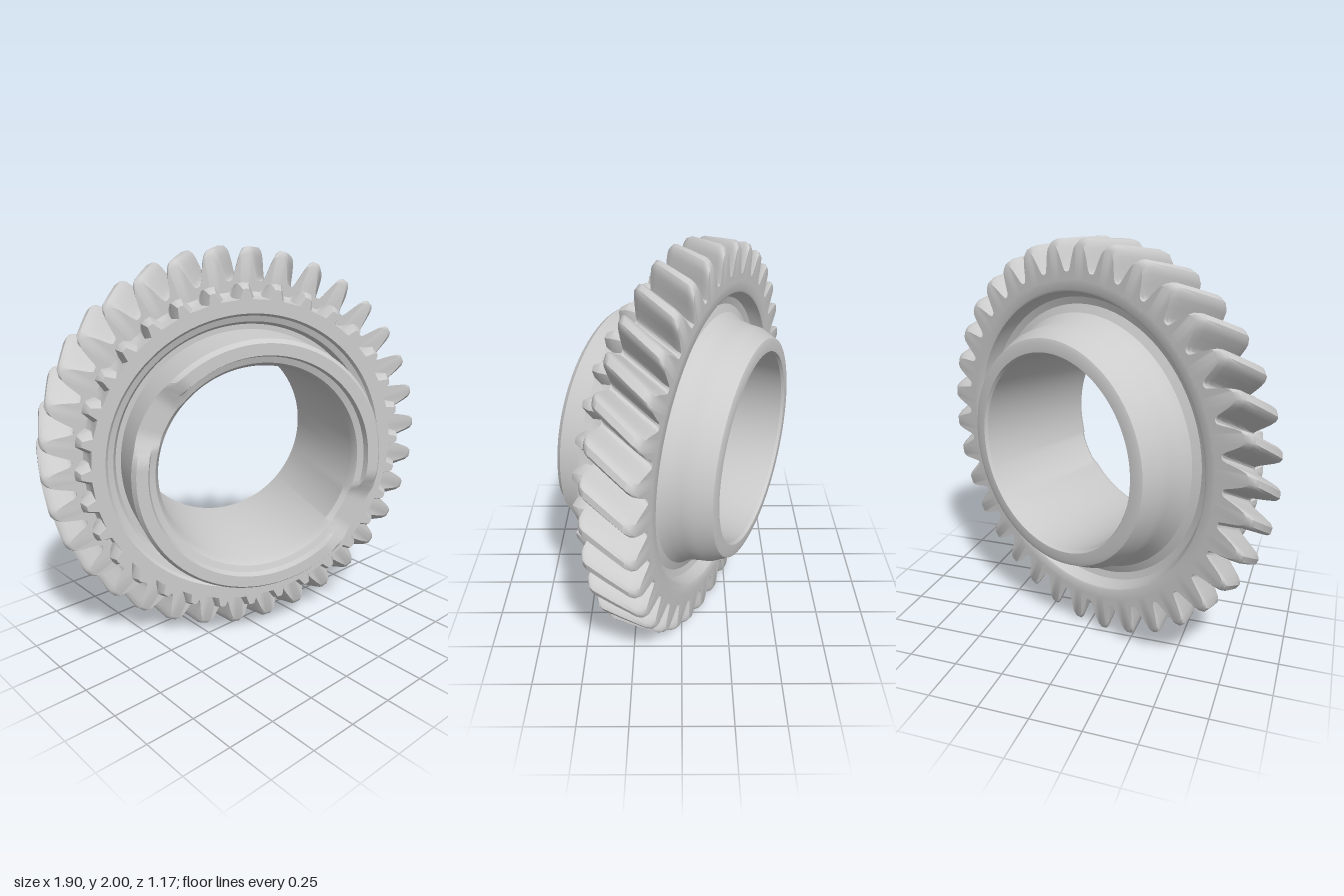
import * as THREE from 'three';
import { toCreasedNormals } from 'three/addons/utils/BufferGeometryUtils.js';

const material = new THREE.MeshStandardMaterial({ color: 0xcccccc });

// Ring of teeth around z. profile: [fraction of pitch, height 0..1];
// sections: z, root and tip radius, and how far the tooth narrows (1 = full width)
function toothedRing(count, profile, sections, helix, phase) {
  const pos = [], index = [];
  const cols = count * profile.length;
  for (const { z, root, tip, width = 1 } of sections) {
    for (let t = 0; t < count; t++) {
      for (const [f, h] of profile) {
        const fraction = h > 0 ? (f - 0.5) * width : f - 0.5;
        const angle = (t + fraction) * Math.PI * 2 / count + helix * z + phase;
        const r = root + (tip - root) * h;
        pos.push(r * Math.cos(angle), r * Math.sin(angle), z);
      }
    }
  }
  for (let i = 0; i < sections.length - 1; i++) {
    for (let j = 0; j < cols; j++) {
      const k = (j + 1) % cols;
      const a = i * cols + j, b = i * cols + k, c = b + cols, d = a + cols;
      index.push(a, b, c, a, c, d);
    }
  }
  const geo = new THREE.BufferGeometry();
  geo.setAttribute('position', new THREE.Float32BufferAttribute(pos, 3));
  geo.setIndex(index);
  return toCreasedNormals(geo, 0.75);
}

// Hub, web and bore as one turned profile, with two shallow scoops in the front rim
function hubGeometry() {
  const points = [
    [0.485, -0.375], [0.495, -0.39], [0.54, -0.39], [0.56, -0.383], [0.6, -0.305], [0.608, -0.25],
    [0.622, -0.185], [0.65, -0.145], [0.69, -0.128], [0.725, -0.138], [0.745, -0.165], [0.755, -0.195],
    [0.765, -0.2], [0.81, -0.2], [0.81, 0.05], [0.755, 0.05], [0.755, 0.18], [0.705, 0.18],
    [0.693, 0.165], [0.665, 0.155], [0.65, 0.125], [0.625, 0.125], [0.62, 0.3], [0.618, 0.365],
    [0.6, 0.39], [0.545, 0.39], [0.535, 0.36], [0.505, 0.35], [0.485, 0.31], [0.485, -0.375],
  ].map(([r, y]) => new THREE.Vector2(r, y));
  const geo = new THREE.LatheGeometry(points, 180);
  geo.rotateX(Math.PI / 2);
  const p = geo.attributes.position;
  const notchAngle = -0.52, halfWidth = 0.4;
  for (let i = 0; i < p.count; i++) {
    if (p.getZ(i) < 0.33) continue;
    const angle = Math.atan2(p.getY(i), p.getX(i)) - notchAngle;
    const off = Math.abs(Math.atan(Math.tan(angle))); // same scoop on opposite sides
    const dip = 1 - THREE.MathUtils.smoothstep(off, halfWidth * 0.3, halfWidth);
    p.setZ(i, Math.min(p.getZ(i), 0.39 - 0.055 * dip));
  }
  return toCreasedNormals(geo, 0.55);
}

export function createModel() {
  const model = new THREE.Group();
  const gear = new THREE.Group();
  gear.name = 'gear';
  const add = (name, geometry) => {
    const mesh = new THREE.Mesh(geometry, material);
    mesh.name = name;
    gear.add(mesh);
  };

  add('hub', hubGeometry());

  // Helical teeth with rounded tips and softened ends
  const helicalProfile = [
    [0, 0], [0.07, 0.03], [0.13, 0.18], [0.2, 0.46], [0.27, 0.73], [0.33, 0.91], [0.41, 1],
    [0.59, 1], [0.67, 0.91], [0.73, 0.73], [0.8, 0.46], [0.87, 0.18], [0.93, 0.03],
  ];
  add('helicalTeeth', toothedRing(34, helicalProfile, [
    { z: -0.2, root: 0.8, tip: 0.8 },
    { z: -0.2, root: 0.845, tip: 0.97, width: 0.97 },
    { z: -0.185, root: 0.845, tip: 0.99 },
    { z: -0.165, root: 0.845, tip: 0.998 },
    { z: -0.07, root: 0.845, tip: 0.998 },
    { z: 0.025, root: 0.845, tip: 0.998 },
    { z: 0.045, root: 0.845, tip: 0.99 },
    { z: 0.06, root: 0.845, tip: 0.97, width: 0.97 },
    { z: 0.06, root: 0.75, tip: 0.75 },
  ], 0.57, -Math.PI / 2 - 0.055),
  );

  // Short clutch teeth with bevelled front ends
  const dogProfile = [
    [0, 0], [0.15, 0.03], [0.25, 0.5], [0.34, 0.95], [0.5, 1], [0.66, 0.95], [0.75, 0.5], [0.85, 0.03],
  ];
  add('clutchTeeth', toothedRing(32, dogProfile, [
    { z: 0.05, root: 0.8, tip: 0.825, width: 0.85 },
    { z: 0.085, root: 0.78, tip: 0.835, width: 0.9 },
    { z: 0.135, root: 0.775, tip: 0.845 },
    { z: 0.18, root: 0.77, tip: 0.82, width: 0.55 },
    { z: 0.18, root: 0.75, tip: 0.75, width: 0.55 },
  ], 0, -1.55));

  gear.rotation.y = -0.414;
  gear.position.set(-0.027, 1, -0.012);
  model.add(gear);
  return model;
}
